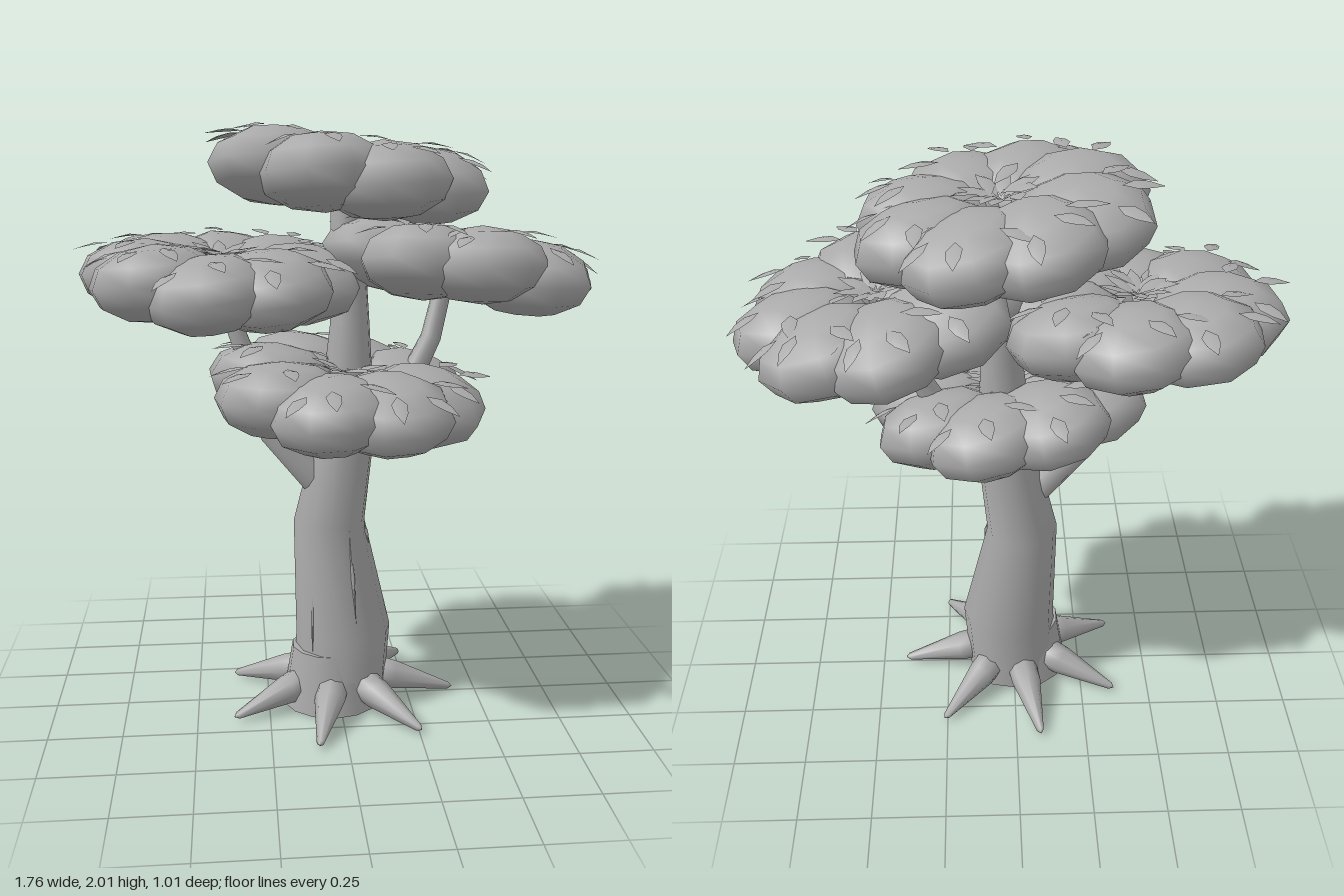
import * as THREE from 'three';
import { mergeGeometries } from 'three/addons/utils/BufferGeometryUtils.js';

const grey = new THREE.MeshStandardMaterial({ color: 0xaaaaaa, side: THREE.DoubleSide });
grey.name = 'stone grey';

function rng(seed) {
  let s = seed;
  return () => (s = (s * 16807) % 2147483647) / 2147483647;
}

function add(parent, geometry, name) {
  const mesh = new THREE.Mesh(geometry, grey);
  mesh.name = name;
  parent.add(mesh);
  return mesh;
}

// Round limb through rings of [x, y, z, radius], square to the path
function limb(rings, sides = 12) {
  const points = rings.map(([x, y, z]) => new THREE.Vector3(x, y, z));
  const pos = [], index = [];
  const up = new THREE.Vector3(0, 1, 0);
  rings.forEach((ring, i) => {
    const dir = points[Math.min(i + 1, rings.length - 1)].clone().sub(points[Math.max(i - 1, 0)]).normalize();
    const q = new THREE.Quaternion().setFromUnitVectors(up, dir);
    for (let j = 0; j < sides; j++) {
      const a = (j / sides) * Math.PI * 2;
      const p = new THREE.Vector3(Math.sin(a), 0, Math.cos(a)).multiplyScalar(ring[3]);
      p.applyQuaternion(q).add(points[i]);
      pos.push(p.x, p.y, p.z);
      if (i) {
        const k = (j + 1) % sides, lo = (i - 1) * sides, hi = i * sides;
        index.push(lo + j, lo + k, hi + j, lo + k, hi + k, hi + j);
      }
    }
  });
  const geo = new THREE.BufferGeometry();
  geo.setAttribute('position', new THREE.Float32BufferAttribute(pos, 3));
  geo.setIndex(index);
  geo.computeVertexNormals();
  return geo;
}

// Pointed leaf along +z, folded along its midrib
function leafGeometry() {
  const geo = new THREE.BufferGeometry();
  geo.setAttribute('position', new THREE.Float32BufferAttribute([
    0, 0, 0, -0.024, 0.004, 0.04, 0, 0.01, 0.05, 0.024, 0.004, 0.04,
    -0.02, 0.004, 0.08, 0.02, 0.004, 0.08, 0, 0, 0.125], 3));
  geo.setIndex([0, 2, 1, 0, 3, 2, 1, 2, 4, 2, 3, 5, 2, 6, 4, 2, 5, 6]);
  geo.computeVertexNormals();
  return geo;
}

// Ring of flattened, overlapping lobes sprinkled with leaves
function canopy(name, position, tilt, seed) {
  const random = rng(seed);
  const group = new THREE.Group();
  group.name = name;
  const lobes = [], leaves = [];
  const count = 8, ring = 0.24, size = [0.205, 0.126, 0.222];
  const leaf = leafGeometry();
  for (let i = 0; i < count; i++) {
    const turn = (i / count) * Math.PI * 2 + seed * 0.13;
    // each lobe leans over its neighbour; the ring is slightly oval
    const place = g => g.rotateZ(0.16).translate(0, 0, ring).rotateY(turn).scale(1.04, 1, 0.98);
    const lift = (random() - 0.5) * 0.02;
    lobes.push(place(new THREE.SphereGeometry(1, 9, 6).rotateY(random()).scale(...size).translate(0, lift, 0)));
    // four leaves fan outwards, one points to the middle
    for (const fan of [-1.3, -0.45, 0.45, 1.3, Math.PI]) {
      const a = fan + (random() - 0.5) * 0.5;
      const reach = 0.35 + random() * 0.3;
      const g = leaf.clone().rotateX(0.15 + random() * 0.2).rotateY(a);
      g.translate(Math.sin(a) * size[0] * reach,
        size[1] * Math.sqrt(1 - reach * reach) + lift, Math.cos(a) * size[2] * reach);
      leaves.push(place(g));
    }
    // centre rosette
    leaves.push(leaf.clone().rotateX(-0.3).translate(0, 0.07, 0.01).rotateY(turn + 0.2));
  }
  add(group, mergeGeometries(lobes), name + 'Lobes');
  add(group, mergeGeometries(leaves), name + 'Leaves');
  group.position.set(...position);
  group.rotation.set(tilt[0], 0, tilt[1]);
  return group;
}

export function createModel() {
  const tree = new THREE.Group();
  tree.name = 'tree';

  // Trunk and branches
  add(tree, limb([
    [0, 0.01, 0, 0.165], [0.018, 0.26, -0.003, 0.167], [-0.03, 0.66, -0.015, 0.124],
    [0.03, 1.0, 0, 0.098], [0.04, 1.35, 0, 0.067], [0.03, 1.82, -0.04, 0.05]]), 'trunk');
  add(tree, limb([
    [-0.05, 0.79, 0, 0.06], [-0.22, 0.98, 0, 0.05], [-0.33, 1.3, -0.01, 0.032], [-0.4, 1.5, -0.03, 0.028]], 10), 'rightBranch');
  add(tree, limb([
    [0.06, 0.96, 0, 0.06], [0.2, 1.06, 0, 0.045], [0.32, 1.3, -0.02, 0.035], [0.38, 1.54, -0.05, 0.03]], 10), 'leftBranch');

  // Collar at the foot
  add(tree, new THREE.CylinderGeometry(0.14, 0.175, 0.21, 14).translate(-0.025, 0.105, 0.015), 'collar');

  // Spreading roots
  const roots = new THREE.Group();
  roots.name = 'roots';
  for (let i = 0; i < 7; i++) {
    const root = add(roots, limb([
      [0.1, 0.1, 0, 0.02], [0.14, 0.088, 0, 0.055], [0.2, 0.07, 0, 0.053], [0.4, 0.018, 0, 0.013], [0.415, 0.015, 0, 0]], 8), 'root');
    root.rotation.y = -0.01 - (i / 7) * Math.PI * 2;
  }
  tree.add(roots);

  // Slender bark ridges
  const ridges = [
    [[0.05, 0.33, 0.15], [0.03, 0.65, 0.095]], [[-0.1, 0.2, 0.115], [-0.095, 0.5, 0.09]],
    [[0.105, 0.58, 0.02], [0.09, 0.66, 0.02]]];
  for (const [a, b] of ridges) {
    const mid = a.map((v, i) => (v + b[i]) / 2);
    add(tree, limb([[...a, 0], [...mid, 0.007], [...b, 0]], 5), 'barkRidge');
  }

  // Four tilted canopies
  tree.add(canopy('topCanopy', [0.035, 1.838, -0.04], [-0.05, -0.1], 3));
  tree.add(canopy('leftCanopy', [0.42, 1.545, -0.055], [-0.06, -0.16], 7));
  tree.add(canopy('rightCanopy', [-0.39, 1.505, -0.03], [0.08, -0.02], 11));
  tree.add(canopy('lowerCanopy', [0.02, 1.13, 0.055], [0.12, -0.1], 16));
  return tree;
}
